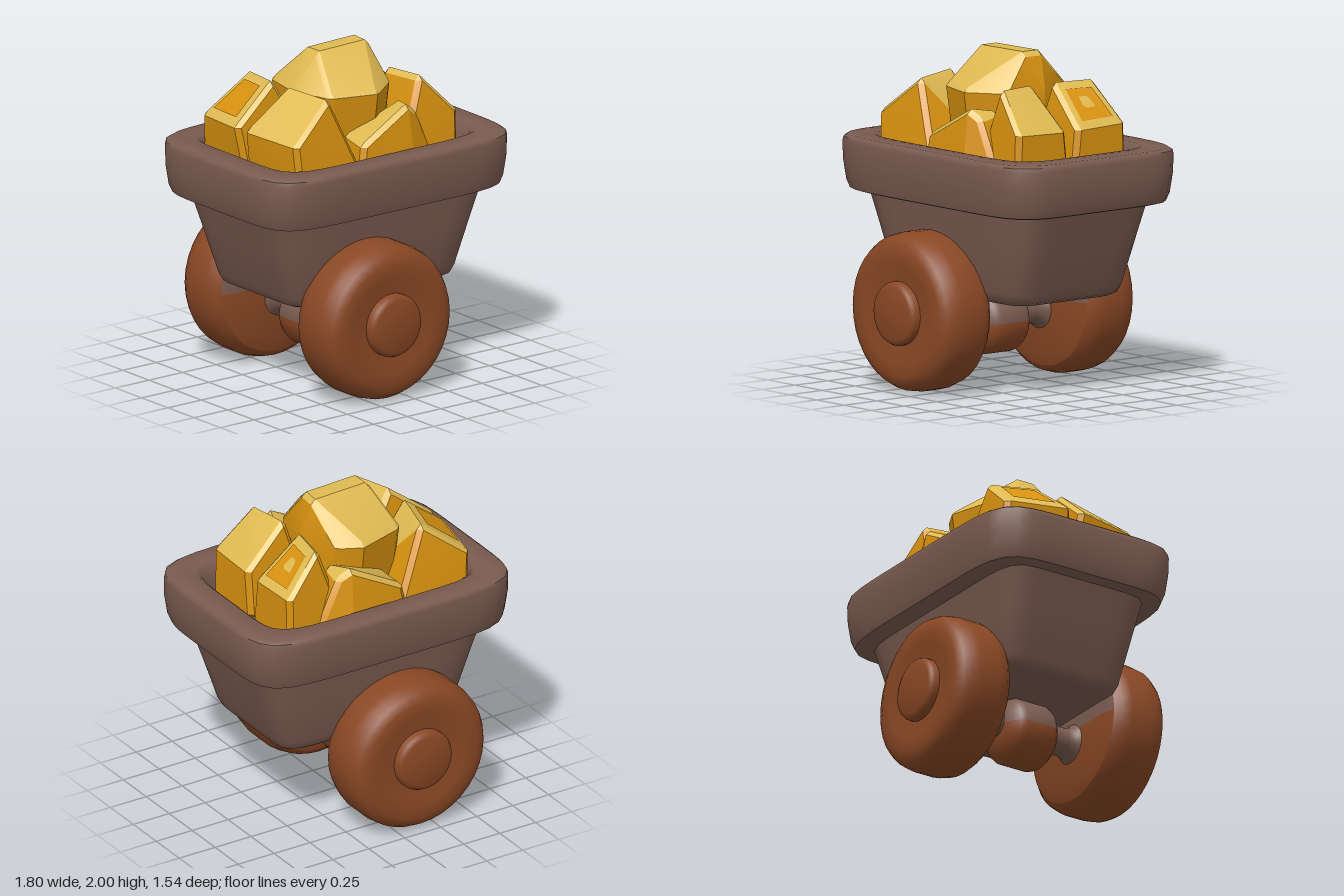
import * as THREE from 'three';
import { toCreasedNormals } from 'three/addons/utils/BufferGeometryUtils.js';
import { ConvexGeometry } from 'three/addons/geometries/ConvexGeometry.js';

const material = (name, color, side = THREE.FrontSide) => {
  const m = new THREE.MeshStandardMaterial({ color, side });
  m.name = name;
  return m;
};

// Rounded-rectangle cross-sections [halfX, halfZ, y], joined in order
function loft(rings, power, segments = 64) {
  const pos = [], index = [];
  for (const [hx, hz, y] of rings) {
    for (let j = 0; j < segments; j++) {
      const t = (j / segments) * Math.PI * 2, c = Math.cos(t), s = Math.sin(t);
      const r = (Math.abs(c) ** power + Math.abs(s) ** power) ** (-1 / power);
      pos.push(hx * r * c, y, hz * r * s);
    }
  }
  for (let i = 0; i < rings.length - 1; i++) {
    for (let j = 0; j < segments; j++) {
      const a = i * segments + j, b = i * segments + (j + 1) % segments;
      index.push(a, a + segments, b, b, a + segments, b + segments);
    }
  }
  const g = new THREE.BufferGeometry();
  g.setAttribute('position', new THREE.Float32BufferAttribute(pos, 3));
  g.setIndex(index);
  return toCreasedNormals(g, 0.75);
}

// Turned part about the z axis from [radius, z] points
function turned(profile, start = 0, length = Math.PI * 2) {
  const pts = profile.map(([r, z]) => new THREE.Vector2(r, z));
  const g = new THREE.LatheGeometry(pts, 36, start, length).rotateX(Math.PI / 2);
  return toCreasedNormals(g, 0.8);
}

export function createModel() {
  const wood = material('greyBrownWood', 0x7a5b50);
  const rust = material('rustBrownWood', 0x8a4825);
  const gold = material('deepGold', 0xd8920f, THREE.DoubleSide);
  const light = material('paleGold', 0xe0ba52);
  const model = new THREE.Group();
  const add = (parent, name, geometry, mat) => {
    const m = new THREE.Mesh(geometry, mat);
    m.name = name;
    parent.add(m);
    return m;
  };

  // Tapered box and thick hollow rim
  add(model, 'cartBody', loft([
    [0, 0, 0.56], [0.55, 0.37, 0.56], [0.595, 0.4, 0.58], [0.62, 0.42, 0.63],
    [0.71, 0.465, 0.92], [0.785, 0.5, 1.15],
  ], 9), wood);
  add(model, 'cartRim', loft([
    [0.75, 0.47, 1.13], [0.83, 0.59, 1.12], [0.865, 0.62, 1.13], [0.885, 0.635, 1.18],
    [0.9, 0.65, 1.3], [0.9, 0.655, 1.41], [0.895, 0.65, 1.435], [0.875, 0.63, 1.45],
    [0.74, 0.515, 1.45], [0.715, 0.49, 1.43], [0.69, 0.47, 1.36], [0.64, 0.43, 1.2], [0, 0, 1.2],
  ], 6.5), wood);

  // Wheels, with the upper inner face in the body colour
  const innerFace = [[0, 0.345], [0.35, 0.345], [0.42, 0.37]];
  const tyre = [[0.42, 0.37], [0.455, 0.405], [0.472, 0.47], [0.472, 0.6], [0.462, 0.66],
    [0.435, 0.705], [0.38, 0.73], [0.3, 0.728], [0.2, 0.71], [0, 0.71]];
  const cap = [[0.19, 0.69], [0.19, 0.74], [0.18, 0.758], [0.155, 0.768], [0, 0.77]];
  for (const side of [1, -1]) {
    const wheel = new THREE.Group();
    wheel.name = side > 0 ? 'frontWheel' : 'backWheel';
    wheel.position.set(-0.14, 0.475, 0);
    if (side < 0) wheel.rotation.y = Math.PI;
    add(wheel, 'tyre', turned(tyre), rust);
    add(wheel, 'upperInnerFace', turned(innerFace, Math.PI / 2, Math.PI), wood);
    add(wheel, 'lowerInnerFace', turned(innerFace, -Math.PI / 2, Math.PI), rust);
    add(wheel, 'hubCap', turned(cap), rust);
    model.add(wheel);
  }

  // Flared axle and its two-tone central block
  add(model, 'axle', turned([[0.14, -0.36], [0.1, -0.33], [0.085, -0.28], [0.085, -0.18],
    [0.085, 0.18], [0.085, 0.28], [0.1, 0.33], [0.14, 0.36]]), wood).position.set(-0.14, 0.4, 0);
  const block = [[0, -0.18], [0.09, -0.18], [0.15, -0.155], [0.185, -0.125], [0.2, -0.09],
    [0.2, 0.09], [0.185, 0.125], [0.15, 0.155], [0.09, 0.18], [0, 0.18]];
  add(model, 'axleBlockTop', turned(block, Math.PI / 2, Math.PI), wood).position.set(-0.14, 0.37, 0);
  add(model, 'axleBlockBottom', turned(block, -Math.PI / 2, Math.PI), rust).position.set(-0.14, 0.37, 0);

  // Bevelled nugget: every corner is widened, upward faces are pale
  const bevel = 0.03;
  function nugget(name, corners, flip = 1, patch = false) {
    const pts = corners.map(([x, y, z]) => new THREE.Vector3(x, y, z * flip));
    const spread = [];
    for (const p of pts) {
      for (const s of [bevel, -bevel]) {
        spread.push(p.clone().add(new THREE.Vector3(s, 0, 0)),
          p.clone().add(new THREE.Vector3(0, s, 0)), p.clone().add(new THREE.Vector3(0, 0, s)));
      }
    }
    const g = toCreasedNormals(new ConvexGeometry(spread), 0.35);
    const p = g.attributes.position, tri = new THREE.Triangle(), n = new THREE.Vector3();
    for (let i = 0; i < p.count; i += 3) {
      tri.setFromAttributeAndIndices(p, i, i + 1, i + 2).getNormal(n);
      g.addGroup(i, 3, n.y > 0.42 ? 1 : 0);
    }
    add(model, name, g, [gold, light]);
    if (!patch) return;
    // Deep gold plate on the sloping top
    const q = pts.slice(0, 4);
    new THREE.Triangle(q[0], q[1], q[2]).getNormal(n);
    if (n.y < 0) n.negate();
    const lift = bevel * Math.max(Math.abs(n.x), Math.abs(n.y), Math.abs(n.z)) + 0.008;
    const mid = q.reduce((a, v) => a.add(v), new THREE.Vector3()).multiplyScalar(0.25);
    const plate = q.map((v) => v.clone().lerp(mid, 0.25).addScaledVector(n, lift));
    const pg = new THREE.BufferGeometry().setFromPoints(plate);
    pg.setIndex(n.y > 0 && flip < 0 ? [0, 2, 1, 0, 3, 2] : [0, 1, 2, 0, 2, 3]);
    pg.computeVertexNormals();
    if (pg.attributes.normal.getY(0) < 0) {
      pg.setIndex([...pg.index.array].reverse());
      pg.computeVertexNormals();
    }
    add(model, name + 'Facet', pg, gold);
  }

  // Heap of nuggets: paired at front and back, with a large one on top
  const rightPile = [[-0.68, 1.6, 0.06], [-0.42, 1.8, 0.09], [-0.36, 1.78, 0.36], [-0.62, 1.58, 0.42],
    [-0.63, 1.3, 0.03], [-0.19, 1.38, 0.03], [-0.19, 1.38, 0.42], [-0.6, 1.3, 0.44]];
  const leftPile = [[0.32, 1.79, 0.1], [0.36, 1.79, 0.33], [0.56, 1.58, 0.38], [0.56, 1.57, 0.07],
    [0.2, 1.36, 0.04], [0.22, 1.36, 0.37], [0.56, 1.3, 0.39], [0.56, 1.3, 0.04]];
  const middlePile = [[-0.14, 1.5, 0.45], [0.18, 1.67, 0.43], [0.23, 1.65, 0.3], [-0.12, 1.52, 0.28],
    [0.24, 1.63, 0.41], [-0.17, 1.32, 0.46], [0.2, 1.32, 0.48], [0.36, 1.36, 0.4], [0.34, 1.36, 0.25]];
  for (const flip of [1, -1]) {
    const end = flip > 0 ? 'front' : 'back';
    nugget(end + 'RightNugget', rightPile, flip, flip < 0);
    nugget(end + 'LeftNugget', leftPile, flip, flip < 0);
    nugget(end + 'MiddleNugget', middlePile, flip);
  }
  const outline = [[-0.3, 0], [-0.25, -0.25], [0.04, -0.34], [0.16, -0.28],
    [0.25, -0.05], [0.21, 0.2], [0.03, 0.33], [-0.23, 0.25]];
  nugget('topNugget', [
    ...outline.map(([x, z]) => [x, 1.77, z]),
    ...outline.map(([x, z]) => [x * 0.9, 1.42, z * 0.85]),
    [-0.17, 1.97, -0.05], [0.19, 1.97, -0.07], [0.18, 1.97, 0.04], [-0.17, 1.97, 0.06],
  ]);
  return model;
}
